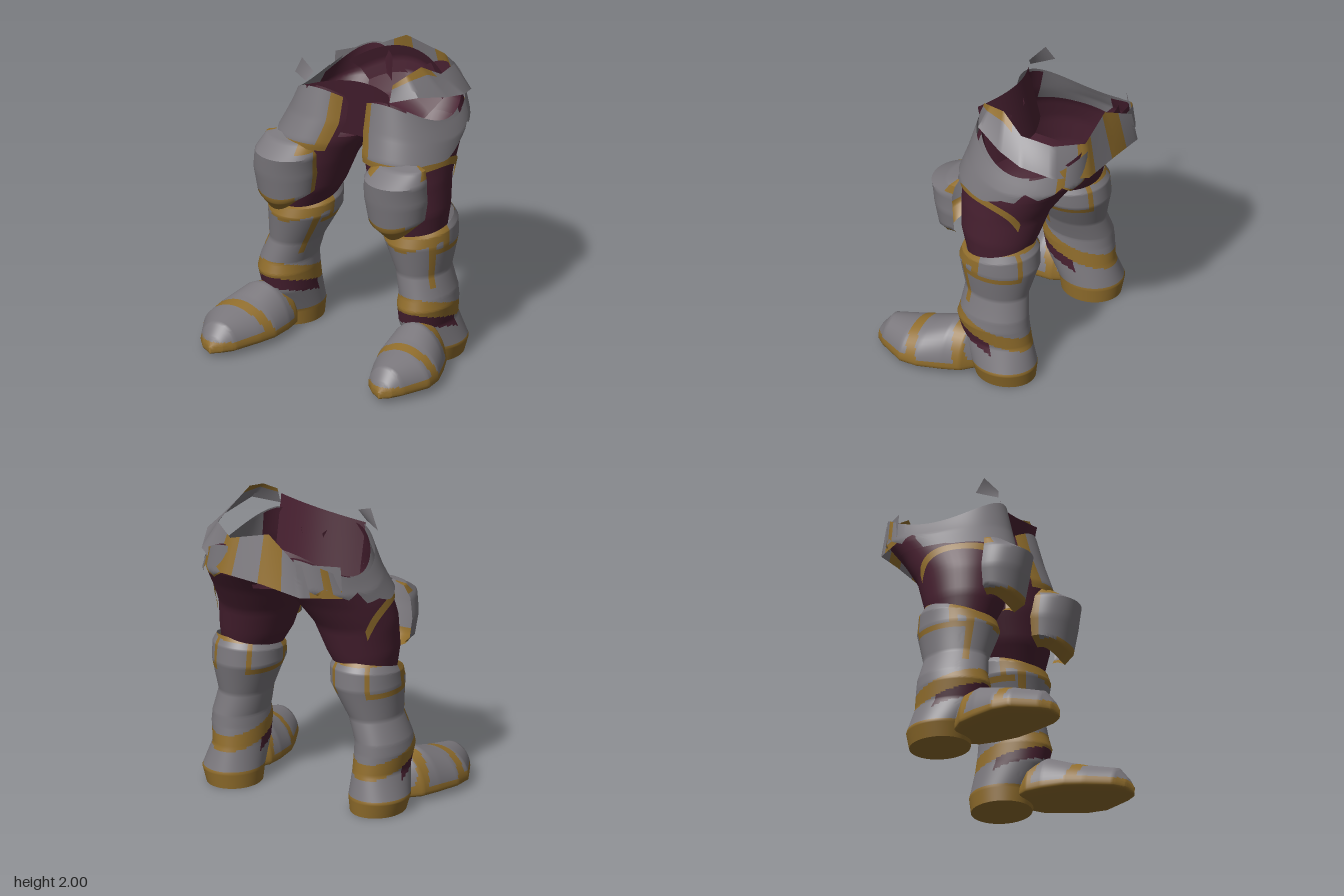
import * as THREE from 'three';
import { toCreasedNormals } from 'three/addons/utils/BufferGeometryUtils.js';

const flat = (name, color) => Object.assign(new THREE.MeshStandardMaterial({ color, side: THREE.DoubleSide }), { name });
const STEEL = 0, GOLD = 1, CLOTH = 2;
const smooth = THREE.MathUtils.smoothstep;

// linear blend through a list of rows, t from 0 to 1
function along(rows, t) {
  const f = t * (rows.length - 1), i = Math.min(Math.floor(f + 1e-6), rows.length - 2);
  return rows[i].map((a, k) => a + (rows[i + 1][k] - a) * (f - i));
}

// oval tube; row = [y, inner x, outer x, front z, back z, saddle, tilt]; 0 deg is front, 90 is outer
const tube = rows => (t, deg, off = 0) => {
  const [y, x0, x1, zf, zb, saddle = 0, tilt = 0] = along(rows, t);
  const a = THREE.MathUtils.degToRad(deg);
  return new THREE.Vector3(
    (x0 + x1) / 2 + ((x1 - x0) / 2 + off) * Math.sin(a),
    y + saddle * Math.cos(2 * a) - tilt * Math.cos(a),
    (zf + zb) / 2 + ((zf - zb) / 2 + off) * Math.cos(a));
};

const shin = tube([
  [0, 0.54, 0.54, -0.18, -0.18, 0, 0],
  [0, 0.35, 0.70, 0.02, -0.38, 0, 0],
  [0.10, 0.34, 0.73, 0.04, -0.395, 0, 0],
  [0.27, 0.345, 0.68, 0.13, -0.35, 0, 0],
  [0.40, 0.345, 0.70, 0.16, -0.335, 0, 0],
  [0.47, 0.35, 0.69, 0.14, -0.33, 0, 0],
  [0.62, 0.31, 0.64, 0.12, -0.31, 0, 0],
  [0.84, 0.205, 0.665, 0.17, -0.37, 0, 0],
  [0.93, 0.20, 0.66, 0.15, -0.36, 0, 0.03],
  [0.965, 0.22, 0.64, 0.12, -0.32, 0, 0.055]]);

const thigh = tube([
  [0.88, 0.26, 0.60, 0.12, -0.28, 0],
  [1.05, 0.16, 0.62, 0.18, -0.34, 0],
  [1.25, 0.085, 0.61, 0.20, -0.40, 0],
  [1.42, 0.02, 0.59, 0.20, -0.52, 0.02],
  [1.56, -0.02, 0.56, 0.15, -0.64, 0.04],
  [1.71, -0.01, 0.51, 0.10, -0.635, 0.09]]);

const guard = tube([
  [0.98, 0.30, 0.56, 0.27, 0.05, -0.04],
  [1.04, 0.22, 0.61, 0.33, -0.01, -0.03],
  [1.20, 0.20, 0.63, 0.365, -0.04, 0],
  [1.34, 0.20, 0.62, 0.385, -0.04, 0],
  [1.42, 0.24, 0.59, 0.25, 0.04, 0],
  [1.44, 0.30, 0.53, 0.17, 0.10, 0]]);

// foot rows: [z, inner x, outer x, top y]
const footRows = [
  [-0.06, 0.44, 0.62, 0.20], [0.04, 0.38, 0.74, 0.31], [0.15, 0.37, 0.79, 0.33], [0.30, 0.38, 0.845, 0.28],
  [0.42, 0.42, 0.85, 0.25], [0.60, 0.50, 0.76, 0.21], [0.66, 0.56, 0.71, 0.13], [0.69, 0.63, 0.64, 0.07]];
function foot(u, v) {
  const [z, x0, x1, top] = along(footRows, u);
  const a = v * Math.PI * 2, s = Math.sin(a);
  const y = s > 0 ? 0.07 + (top - 0.07) * s ** 1.1 : 0.07 - 0.045 * Math.sqrt(-s);
  return new THREE.Vector3((x0 + x1) / 2 + (x1 - x0) / 2 * Math.cos(a), y, z);
}

// painted regions
function paintShin(p, v) {
  const a = v * 360 - 180, f = Math.cos(a * Math.PI / 180), b = p.y - 0.07 * f, w = Math.abs(a);
  if (p.y < 0.11) return GOLD;
  if (b > 0.23 && b < 0.31 && f > -0.2) return CLOTH;
  if (b > 0.31 && b < 0.415) return GOLD;
  if (f > 0.2 ? p.y > 0.80 + 0.07 * Math.sqrt(1 - f * f) : p.y > 0.995) return GOLD;
  if (w > 48 && w < 62 && p.y > 0.54) return GOLD;
  if (w > 62 && w < 152 && p.y > 0.79 && p.y < 0.83) return GOLD;
  if (((w > 74 && w < 86) || (w > 144 && w < 154)) && p.y > 0.8) return GOLD;
  return STEEL;
}
function paintFoot(p) {
  const band = p.z + 0.25 * (0.25 - p.y);
  if (p.y < 0.105 || p.z > 0.68) return GOLD;
  return (band > 0.34 && band < 0.41) || (band > 0.04 && band < 0.11) ? GOLD : STEEL;
}

export function createModel() {
  const model = new THREE.Group();
  model.name = 'armouredLegs';
  const materials = [flat('steel', 0x7b787d), flat('gold', 0x906d2c), flat('cloth', 0x472030)];

  // grid surface from fn(u, v), its faces sorted into one group per colour
  function skin(parent, name, fn, nu, nv, paint, place = p => p, flip = false) {
    const pos = [], faces = [[], [], []], base = [];
    for (let i = 0; i <= nu; i++) for (let j = 0; j <= nv; j++) {
      const p = fn(i / nu, j / nv);
      base.push(p);
      pos.push(...place(p.clone()).toArray());
    }
    for (let i = 0; i < nu; i++) for (let j = 0; j < nv; j++) {
      const a = i * (nv + 1) + j, b = a + 1, c = a + nv + 1, d = c + 1;
      const mid = base[a].clone().add(base[d]).multiplyScalar(0.5);
      const list = faces[paint(mid, (j + 0.5) / nv, (i + 0.5) / nu)];
      list.push(...(flip ? [a, c, b, b, c, d] : [a, b, c, b, d, c]));
    }
    const geo = new THREE.BufferGeometry();
    geo.setAttribute('position', new THREE.Float32BufferAttribute(pos, 3));
    geo.setIndex(faces.flat());
    let start = 0;
    faces.forEach((f, m) => { if (f.length) geo.addGroup(start, f.length, m); start += f.length; });
    const mesh = new THREE.Mesh(toCreasedNormals(geo, 0.8), materials);
    mesh.name = name;
    parent.add(mesh);
  }

  for (const side of [1, -1]) {
    const leg = new THREE.Group();
    leg.name = side > 0 ? 'leftLeg' : 'rightLeg';
    model.add(leg);
    // the upper body leans a little to its left
    const place = p => {
      p.x = side * p.x + 0.03 * smooth(p.y, 0.4, 0.9) + 0.035 * smooth(p.y, 1.2, 1.6);
      return p;
    };
    const add = (name, fn, nu, nv, paint) => skin(leg, name, fn, nu, nv, paint, place, side < 0);

    add('boot', (u, v) => shin(u, v * 360 - 180), 108, 90, paintShin);
    add('foot', foot, 63, 48, paintFoot);
    add('thigh', (u, v) => thigh(0.66 * u, v * 360 - 180), 20, 48, () => CLOTH);
    // open hip: cloth in front and behind, bare steel on the outside
    add('hip', (u, v) => thigh(0.66 + 0.34 * u, -42 + 252 * v), 10, 42,
      (p, v) => (v > 0.29 && v < 0.6 ? STEEL : CLOTH));
    add('thighStripe', (u, v) => {
      const a = 25 + 110 * v, bend = (a - 75) ** 2 * (a > 75 ? 0.00006 : 0.000025);
      return thigh(0.55 - bend + 0.065 * u, a, 0.012);
    }, 2, 24, () => GOLD);
    add('kneeGuard', (u, v) => guard(u, -98 + 196 * v), 30, 36,
      (p, v) => (p.y < 1.05 || v < 0.07 || (p.y > 1.36 && (v < 0.3 || v > 0.9)) ? GOLD : STEEL));
    // thigh plate, its lower edge rising towards the back
    add('thighPlate', (u, v) => {
      const a = -34 + 152 * v, t0 = 0.55 + 0.06 * smooth(a, 20, 60) + 0.28 * smooth(a, 76, 122);
      return thigh(t0 + (1 - t0) * u, a, 0.03);
    }, 20, 32, (p, v, u) => (v < 0.09 || (u < 0.1 && v < 0.4) ? GOLD : STEEL));
    // hip plate with a pointed lower edge
    add('hipPlate', (u, v) => {
      const t0 = 0.74 + 0.1 * Math.abs(((v * 2) % 1) * 2 - 1);
      return thigh(t0 + (1 - t0) * u, 108 + 74 * v, 0.025);
    }, 12, 24, (p, v, u) => ((v > 0.4 && v < 0.54) || (u < 0.12 && v > 0.5) ? GOLD : STEEL));
  }

  // trousers: front panel above the crotch, then the seat up the back
  skin(model, 'trouserFront', (u, v) => {
    const w = v * 2 - 1, top = 1.87 + 0.04 * w - 0.03 * w * w;
    return new THREE.Vector3(0.05 + 0.31 * w, 1.44 + (top - 1.44) * u, -0.04 + 0.09 * u + 0.08 * w * w);
  }, 16, 20, () => CLOTH);
  const seat = [[1.46, -0.04], [1.45, -0.25], [1.52, -0.5], [1.64, -0.65], [1.74, -0.66], [1.84, -0.62]];
  skin(model, 'trouserSeat', (u, v) => {
    const w = v * 2 - 1, [y, z] = along(seat, u);
    return new THREE.Vector3(0.05 + (0.12 + 0.26 * u) * w, y - 0.14 * w * w * u, z + 0.12 * w * w * u);
  }, 20, 20, () => CLOTH, undefined, true);

  // slanted belt: lower edge then upper edge at each station
  const strip = (name, rows, paint) => skin(model, name, (u, v) => {
    const r = along(rows, u);
    return new THREE.Vector3(...r.slice(0, 3)).lerp(new THREE.Vector3(...r.slice(3)), v);
  }, 64, 8, paint);
  strip('belt', [
    [0.36, 1.82, 0.12, 0.36, 1.93, 0.08], [0.52, 1.86, 0.03, 0.42, 1.98, 0],
    [0.60, 1.80, -0.18, 0.45, 2.0, -0.12], [0.63, 1.76, -0.35, 0.50, 1.90, -0.28],
    [0.56, 1.70, -0.55, 0.47, 1.88, -0.50], [0.34, 1.62, -0.69, 0.30, 1.85, -0.64],
    [0.03, 1.60, -0.70, 0.03, 1.92, -0.62], [-0.24, 1.56, -0.70, -0.20, 1.78, -0.68],
    [-0.45, 1.53, -0.51, -0.43, 1.74, -0.50]],
  (p, v, u) => ((v > 0.7 && u < 0.32) || (u > 0.59 && u < 0.66) || (u > 0.74 && u < 0.81) || (u > 0.9 && v < 0.25) ? GOLD : STEEL));
  strip('beltEnd', [[-0.41, 1.81, 0.02, -0.34, 1.94, 0.05], [-0.27, 1.82, 0.12, -0.22, 1.89, 0.1]], () => STEEL);

  return model;
}
